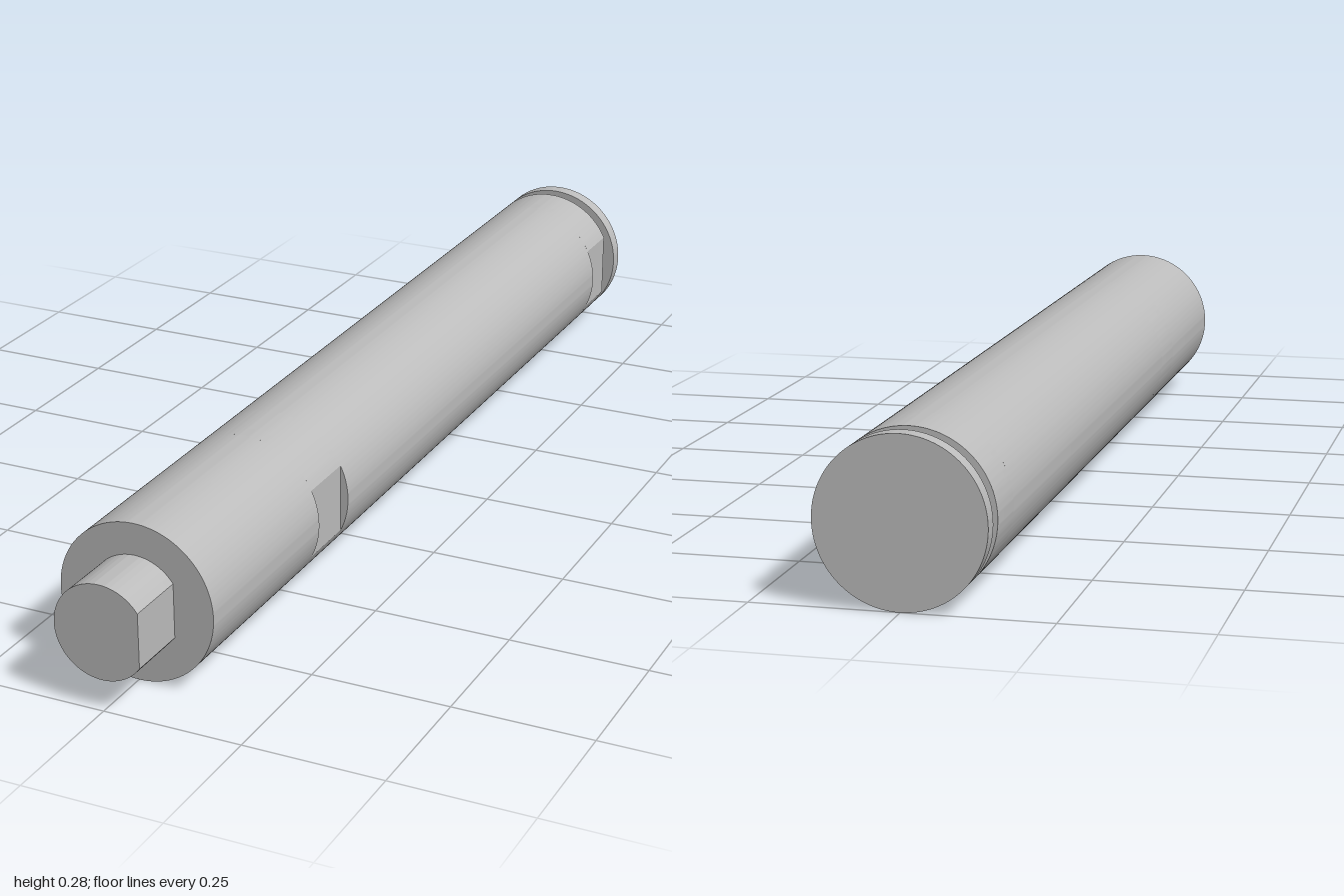
import * as THREE from 'three';
import { toCreasedNormals } from 'three/addons/utils/BufferGeometryUtils.js';

const AXIS_Y = 0.1425; // shaft axis height, equal to the body radius
const R = 0.1425;
const FLAT_X = 0.128; // depth of the milled flats on the body

export function createModel() {
  const group = new THREE.Group();
  group.name = 'shaft';
  const steel = new THREE.MeshStandardMaterial({ color: 0xbcbcbc });
  steel.name = 'steel grey';

  // One length of the shaft, optionally with a flat cut on its +x side
  function section(name, radius, z0, z1, flatX = radius) {
    const a = Math.acos(flatX / radius);
    const shape = new THREE.Shape();
    shape.absarc(0, 0, radius, a, Math.PI * 2 - a, false);
    shape.closePath();
    const extruded = new THREE.ExtrudeGeometry(shape, {
      depth: z1 - z0, bevelEnabled: false, curveSegments: 96,
    });
    const mesh = new THREE.Mesh(toCreasedNormals(extruded, 0.3), steel);
    mesh.name = name;
    mesh.position.set(0, AXIS_Y, z0);
    group.add(mesh);
  }

  // Rear collar and retaining groove
  section('rearCollar', R, -1, -0.97);
  section('retainingGroove', 0.099, -0.97, -0.942);

  // Main body with two milled flats
  section('rearFlat', R, -0.942, -0.842, FLAT_X);
  section('mainBody', R, -0.842, 0.385);
  section('frontFlat', R, 0.385, 0.5, FLAT_X);
  section('frontBody', R, 0.5, 0.885);

  // Front drive tip with its flat
  section('driveTip', 0.0855, 0.885, 1, 0.07);

  return group;
}
